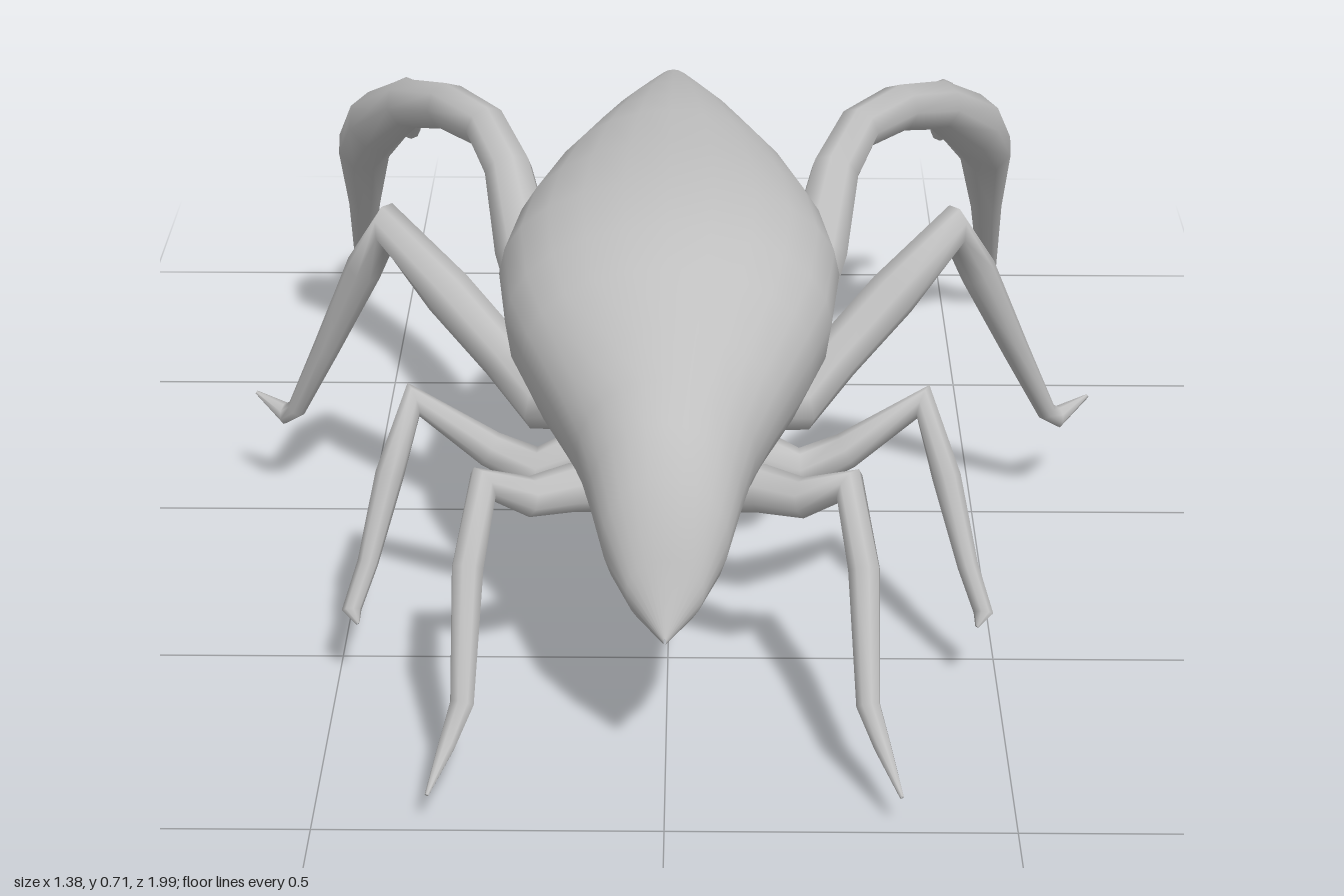
import * as THREE from 'three';

const shell = new THREE.MeshStandardMaterial({ color: 0xbfbfbf });
shell.name = 'shell grey';

// Skin a list of rings (each an array of Vector3, counter-clockwise about the path)
function skin(rings, name) {
  const n = rings[0].length, index = [];
  for (let k = 0; k < rings.length - 1; k++) {
    for (let j = 0; j < n; j++) {
      const a = k * n + j, b = k * n + (j + 1) % n;
      index.push(a, b, a + n, b, b + n, a + n);
    }
  }
  const geometry = new THREE.BufferGeometry().setFromPoints(rings.flat());
  geometry.setIndex(index);
  geometry.computeVertexNormals();
  const mesh = new THREE.Mesh(geometry, shell);
  mesh.name = name;
  return mesh;
}

// Tapered limb through points [x, y, z, radius]; ends are closed
function limb(points, side, name, sides = 8) {
  const first = points[0], last = points[points.length - 1];
  const rows = [[...first.slice(0, 3), 0.001], ...points, [...last.slice(0, 3), 0.001]];
  const pts = points.map(p => new THREE.Vector3(p[0] * side, p[1], p[2]));
  const tangents = pts.map((p, i) => {
    const t = new THREE.Vector3();
    if (i > 0) t.add(p.clone().sub(pts[i - 1]).normalize());
    if (i < pts.length - 1) t.add(pts[i + 1].clone().sub(p).normalize());
    return t.normalize();
  });
  const u = new THREE.Vector3(0, 1, 0.3).cross(tangents[0]).normalize();
  const rings = rows.map((row, k) => {
    const i = Math.min(Math.max(k - 1, 0), pts.length - 1);
    const t = tangents[i];
    if (i > 0) u.applyQuaternion(new THREE.Quaternion().setFromUnitVectors(tangents[i - 1], t));
    u.addScaledVector(t, -u.dot(t)).normalize();
    const v = t.clone().cross(u);
    if (k === rows.length - 1) v.copy(t).cross(u);
    return Array.from({ length: sides }, (_, j) => {
      const a = j / sides * Math.PI * 2;
      return pts[i].clone()
        .addScaledVector(u, Math.cos(a) * row[3])
        .addScaledVector(v, Math.sin(a) * row[3]);
    });
  });
  return skin(rings, name);
}

// Body sections from tail to snout: z, half width, top, widest height, bottom
const bodySections = [
  [-0.43, 0.002, 0.625, 0.62, 0.61],
  [-0.38, 0.035, 0.645, 0.60, 0.55],
  [-0.30, 0.075, 0.665, 0.58, 0.48],
  [-0.20, 0.115, 0.69, 0.575, 0.43],
  [-0.10, 0.155, 0.705, 0.57, 0.40],
  [0.00, 0.195, 0.715, 0.57, 0.37],
  [0.15, 0.24, 0.718, 0.565, 0.345],
  [0.30, 0.26, 0.715, 0.56, 0.33],
  [0.42, 0.245, 0.69, 0.53, 0.315],
  [0.50, 0.215, 0.655, 0.51, 0.31],
  [0.60, 0.165, 0.60, 0.47, 0.31],
  [0.68, 0.13, 0.56, 0.44, 0.30],
  [0.75, 0.11, 0.52, 0.41, 0.285],
  [0.82, 0.09, 0.47, 0.37, 0.265],
  [0.86, 0.055, 0.36, 0.31, 0.252],
  [0.905, 0.002, 0.26, 0.255, 0.25],
];

function body() {
  const n = 24;
  return skin(bodySections.map(([z, w, top, mid, bottom]) =>
    Array.from({ length: n }, (_, j) => {
      const a = j / n * Math.PI * 2, s = Math.sin(a);
      return new THREE.Vector3(Math.cos(a) * w, mid + s * (s > 0 ? top - mid : mid - bottom), z);
    })), 'body');
}

// Limb paths on the +x side: x, y, z, radius
const limbs = {
  frontLeg: [
    [0.06, 0.35, 0.60, 0.04], [0.14, 0.36, 0.63, 0.036], [0.20, 0.365, 0.67, 0.03],
    [0.265, 0.395, 0.69, 0.028], [0.285, 0.30, 0.77, 0.024], [0.29, 0.14, 0.88, 0.018],
    [0.31, 0.095, 0.92, 0.013], [0.335, 0.055, 0.99, 0.003],
  ],
  secondLeg: [
    [0.08, 0.34, 0.44, 0.05], [0.20, 0.30, 0.45, 0.035], [0.27, 0.33, 0.44, 0.028],
    [0.385, 0.41, 0.435, 0.027], [0.42, 0.31, 0.49, 0.022], [0.452, 0.19, 0.545, 0.016],
    [0.475, 0.13, 0.585, 0.015], [0.465, 0.115, 0.60, 0.003],
  ],
  thirdLeg: [
    [0.10, 0.36, 0.30, 0.06], [0.20, 0.325, 0.25, 0.05], [0.26, 0.38, 0.21, 0.04],
    [0.35, 0.465, 0.155, 0.041], [0.445, 0.56, 0.11, 0.036], [0.49, 0.47, 0.07, 0.03],
    [0.56, 0.31, 0.02, 0.022], [0.62, 0.175, -0.03, 0.016], [0.64, 0.16, -0.04, 0.018],
    [0.69, 0.187, -0.065, 0.003],
  ],
  hindLeg: [
    [0.12, 0.42, 0.14, 0.055], [0.21, 0.43, 0.09, 0.055], [0.235, 0.48, 0.02, 0.05],
    [0.265, 0.58, -0.08, 0.04], [0.305, 0.62, -0.17, 0.037], [0.375, 0.615, -0.28, 0.04],
    [0.45, 0.575, -0.40, 0.043], [0.515, 0.50, -0.51, 0.055], [0.55, 0.42, -0.60, 0.048],
    [0.565, 0.27, -0.72, 0.03], [0.58, 0.09, -0.83, 0.018], [0.585, 0.045, -0.89, 0.011],
    [0.59, 0.006, -0.995, 0.003],
  ],
  hindSpur: [
    [0.47, 0.55, -0.47, 0.03], [0.472, 0.525, -0.60, 0.023], [0.468, 0.46, -0.70, 0.022],
    [0.48, 0.385, -0.765, 0.016], [0.475, 0.37, -0.78, 0.003],
  ],
};

export function createModel() {
  const model = new THREE.Group();
  model.name = 'beetle';
  model.add(body());
  for (const side of [1, -1]) {
    const group = new THREE.Group();
    group.name = side > 0 ? 'leftLegs' : 'rightLegs';
    for (const [name, points] of Object.entries(limbs)) group.add(limb(points, side, name));
    model.add(group);
  }
  return model;
}
